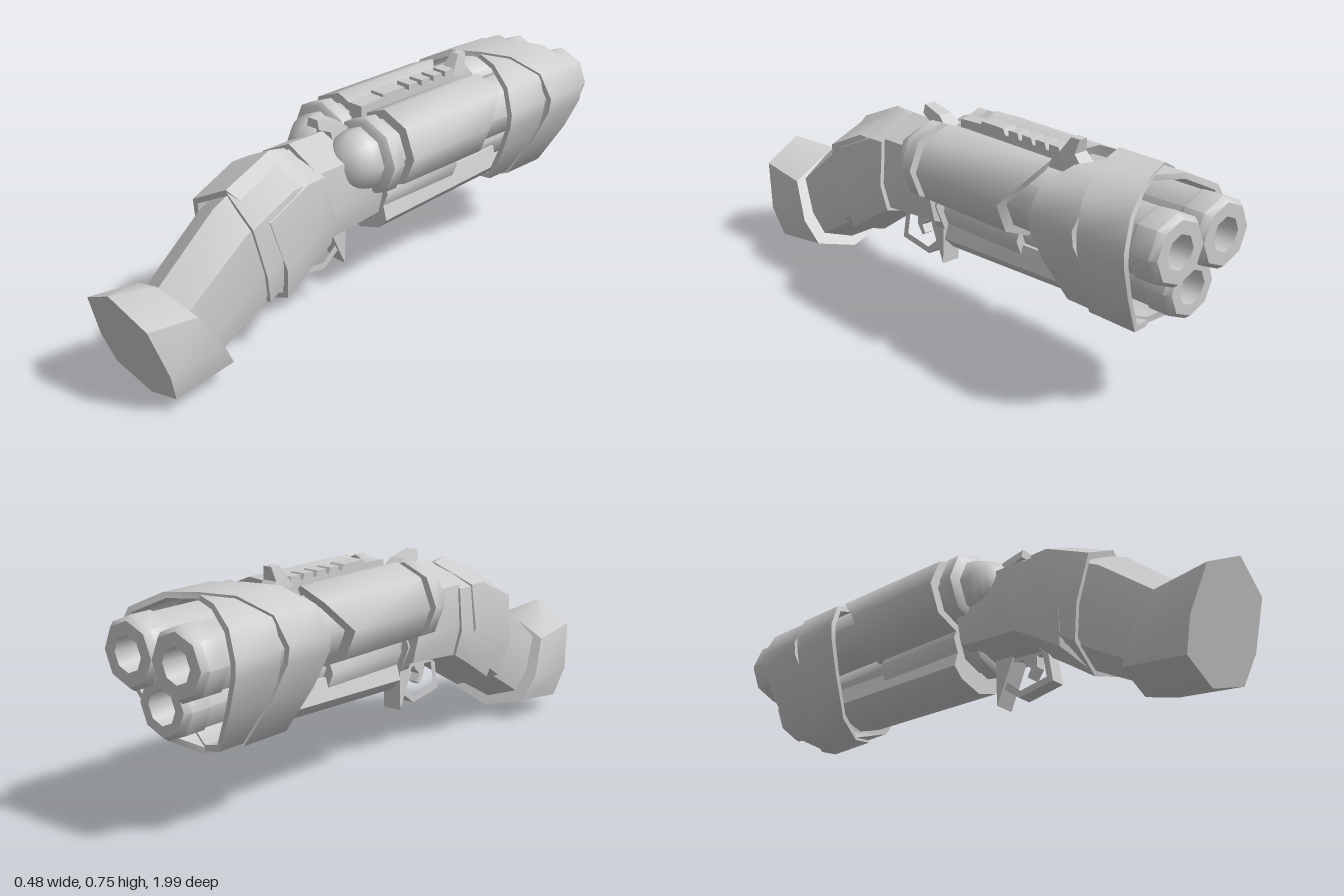
import * as THREE from 'three';
import { toCreasedNormals } from 'three/addons/utils/BufferGeometryUtils.js';

const material = new THREE.MeshStandardMaterial({ color: 0xcccccc });

// Skin between rings of points, listed from +z to -z, each ring clockwise seen from +z
function loft(rings, looped = false) {
  const pos = [];
  const tri = (...pts) => pts.forEach((p) => pos.push(...p));
  const n = rings[0].length;
  const count = looped ? rings.length : rings.length - 1;
  for (let i = 0; i < count; i++) {
    const a = rings[i], b = rings[(i + 1) % rings.length];
    for (let j = 0; j < n; j++) {
      const k = (j + 1) % n;
      tri(a[j], a[k], b[j]);
      tri(a[k], b[k], b[j]);
    }
  }
  if (!looped) {
    [rings[0], rings[rings.length - 1]].forEach((ring, end) => {
      const c = [0, 1, 2].map((d) => ring.reduce((s, p) => s + p[d], 0) / n);
      for (let j = 0; j < n; j++) {
        const k = (j + 1) % n;
        if (end) tri(c, ring[j], ring[k]);
        else tri(c, ring[k], ring[j]);
      }
    });
  }
  const g = new THREE.BufferGeometry();
  g.setAttribute('position', new THREE.Float32BufferAttribute(pos, 3));
  return g;
}

// Mirrors a right-hand half outline running top to bottom into a full ring
const mirrorRing = (half) => [
  ...half,
  ...half.slice(1, -1).reverse().map(([x, y]) => [-x, y]),
];

// Eight-sided stock section between a top and a bottom point, given as [z, y]
const stockOutline = mirrorRing([[0, 1], [0.85, 0.63], [1, -0.2], [0.86, -0.74], [0, -1]]);
function stockRing([tz, ty, bz, by, w], slant = 0, scale = 1) {
  return stockOutline.map(([u, v]) => {
    const x = u * w * scale, t = v * scale;
    return [x - 0.005, (ty + by) / 2 + ((ty - by) / 2) * t, (tz + bz) / 2 + ((tz - bz) / 2) * t + slant * x];
  });
}

// Octagonal turned part along z; the profile holds [radius, z]
function turned(profile, x, y) {
  const g = new THREE.LatheGeometry(profile.map(([r, z]) => new THREE.Vector2(r, z)), 8);
  return g.rotateX(Math.PI / 2).translate(x, y, 0);
}

// Flat plate across x from a side outline of [z, y] points
function plate(points, width, hole) {
  const toPoints = (list) => list.map(([z, y]) => new THREE.Vector2(z, y));
  const shape = new THREE.Shape(toPoints(points));
  if (hole) shape.holes.push(new THREE.Path(toPoints(hole)));
  return new THREE.ExtrudeGeometry(shape, { depth: width, bevelEnabled: false })
    .rotateY(-Math.PI / 2).translate(width / 2, 0, 0);
}

export function createModel() {
  const model = new THREE.Group();
  const add = (name, geometry, crease = 0.85) => {
    const mesh = new THREE.Mesh(toCreasedNormals(geometry, crease), material);
    mesh.name = name;
    model.add(mesh);
    return mesh;
  };

  // Three barrels with bored muzzles
  const barrel = (r, tip) => [
    [0, tip + 0.3], [0.055, tip + 0.3], [0.055, tip], [r - 0.015, tip], [r, tip + 0.02],
    [r, tip + 0.09], [r - 0.006, tip + 0.1], [r - 0.006, 0.03], [0, 0.03],
  ].reverse().map(([a, z]) => [a, z]);
  // Lathe profiles run toward +z so that the faces point outward
  const turnedOut = (profile, x, y) => turned([...profile].reverse(), x, y);
  add('lowerBarrel', turnedOut(barrel(0.104, -0.96), 0, 0.422), 0.8);

  for (const side of [1, -1]) {
    const tag = side > 0 ? 'left' : 'right';
    add(tag + 'Barrel', turnedOut(barrel(0.112, -0.99), side * 0.098, 0.566), 0.8);

    // Rounded breech end and its collar
    const dome = [];
    for (let i = 0; i <= 6; i++) {
      const a = (i / 6) * (Math.PI / 2);
      dome.push([0.108 * Math.sin(a), 0.07 + 0.115 * Math.cos(a)]);
    }
    dome.push([0.108, 0], [0, 0]);
    add(tag + 'BreechDome', turnedOut(dome, side * 0.092, 0.562));
    add(tag + 'Collar', turnedOut([[0, 0.07], [0.118, 0.07], [0.133, 0.058], [0.133, 0.012], [0, 0.012]],
      side * 0.102, 0.565), 0.8);

    // Jacket whose front edge reaches further along the top
    const jacket = (end) => Array.from({ length: 8 }, (_, i) => {
      const a = (i * Math.PI) / 4;
      const outerTop = i === 0 || i === (side > 0 ? 1 : 7);
      return [side * 0.105 + 0.135 * Math.sin(a), 0.57 + 0.135 * Math.cos(a),
        end ? (outerTop ? -0.49 : -0.4) : -0.025];
    });
    add(tag + 'Jacket', loft([jacket(false), jacket(true)]));
  }

  // Lower collar, barrel sleeve and long under-grip
  add('lowerCollar', turnedOut([[0, 0.07], [0.11, 0.07], [0.125, 0.058], [0.125, 0.012], [0, 0.012]], 0, 0.415), 0.8);
  add('lowerSleeve', turnedOut([[0, -0.025], [0.125, -0.025], [0.125, -0.37], [0, -0.37]], 0, 0.41), 0.8);
  const grip = mirrorRing([[0, 0.4], [0.1, 0.38], [0.12, 0.312], [0.085, 0.275], [0, 0.248]]);
  add('underGrip', loft([
    grip.map(([x, y]) => [x, y, -0.025]),
    grip.map(([x, y]) => [x * 0.95, y + 0.02, -0.6]),
  ]));

  // Crossed straps around the barrels
  const strap = mirrorRing([[0, 0.725], [0.1, 0.72], [0.2, 0.67], [0.24, 0.58], [0.235, 0.53],
    [0.19, 0.42], [0.11, 0.275], [0, 0.24]]);
  const strapRing = (z, slant, s) =>
    strap.map(([x, y]) => [x * s, 0.5 + (y - 0.5) * s, z + slant * x]);
  [[-0.46, 1], [0.4, 0.965]].forEach(([slant, s], i) => {
    add('barrelStrap' + (i + 1), loft([
      strapRing(-0.62, slant, s), strapRing(-0.8, slant, s),
      strapRing(-0.8, slant, s - 0.08), strapRing(-0.62, slant, s - 0.08),
    ], true), 0.9);
  });

  // Top rib with teeth, front sight and hammer
  add('topRib', plate([[0, 0.6], [0, 0.7], [-0.1, 0.705], [-0.1, 0.715], [-0.2, 0.715], [-0.21, 0.695],
    [-0.46, 0.695], [-0.55, 0.67], [-0.55, 0.6]], 0.055), 0.3);
  for (let i = 0; i < 4; i++) {
    const z = -0.225 - i * 0.06;
    add('ribTooth' + (i + 1), plate([[z, 0.69], [z, 0.715], [z - 0.04, 0.715], [z - 0.05, 0.69]], 0.055), 0.3);
  }
  const sight = plate([[-0.44, 0.69], [-0.455, 0.712], [-0.485, 0.755], [-0.52, 0.755],
    [-0.51, 0.71], [-0.55, 0.67], [-0.5, 0.66]], 0.06);
  const hammer = plate([[0.19, 0.705], [0.11, 0.685], [0.065, 0.65], [0.06, 0.58], [0.13, 0.58],
    [0.145, 0.655], [0.19, 0.675]], 0.08);
  // Both narrow toward the top
  for (const [g, low, high] of [[sight, 0.69, 0.755], [hammer, 0.63, 0.705]]) {
    const p = g.attributes.position;
    for (let i = 0; i < p.count; i++) {
      const t = THREE.MathUtils.clamp((p.getY(i) - low) / (high - low), 0, 1);
      p.setX(i, p.getX(i) * (1 - 0.5 * t));
    }
  }
  add('frontSight', sight, 0.3);
  add('hammer', hammer, 0.3);

  // Stock: neck, bend and butt; sections are [top z, top y, bottom z, bottom y, half width]
  add('stock', loft([
    [0.84, 0.33, 0.68, 0.065, 0.125], [0.6, 0.53, 0.46, 0.185, 0.135], [0.45, 0.6, 0.36, 0.25, 0.145],
    [0.29, 0.63, 0.27, 0.3, 0.148],
  ].map((s) => stockRing(s))));
  add('neck', loft([[0.29, 0.648, 0.27, 0.295, 0.153], [0.02, 0.648, 0.02, 0.32, 0.153]].map((s) => stockRing(s))));
  const buttBack = [1, 0.387, 0.874, 0.003, 0.172], buttFront = [0.826, 0.349, 0.643, 0.043, 0.172];
  add('butt', loft([stockRing(buttBack), stockRing(buttFront), stockRing(buttFront, 0, 0.7)]), 0.8);

  // Crossed straps around the wrist of the stock
  const wrist = [[0.55, 0.575, 0.46, 0.165, 0.174], [0.37, 0.652, 0.36, 0.235, 0.174], [0.31, 0.64, 0.275, 0.292, 0.172]];
  [[-0.2, 1], [0.24, 0.96]].forEach(([slant, s], i) => {
    add('stockStrap' + (i + 1), loft([
      ...wrist.map((w) => stockRing(w, slant, s)),
      ...[...wrist].reverse().map((w) => stockRing(w, slant, s - 0.1)),
    ], true), 0.8);
  });

  // Trigger guard, trigger and the pointed lever ahead of it
  add('triggerGuard', plate(
    [[0.29, 0.31], [0.31, 0.19], [0.17, 0.17], [0.09, 0.23], [0.1, 0.32]], 0.05,
    [[0.27, 0.295], [0.285, 0.21], [0.175, 0.193], [0.12, 0.24], [0.13, 0.3]]), 0.3);
  add('trigger', plate([[0.24, 0.32], [0.24, 0.26], [0.215, 0.225], [0.2, 0.235], [0.215, 0.262], [0.19, 0.285], [0.18, 0.32]], 0.035), 0.3);
  add('lever', plate([[0.16, 0.33], [0.13, 0.26], [0.085, 0.163], [0.08, 0.33]], 0.07), 0.3);

  return model;
}
